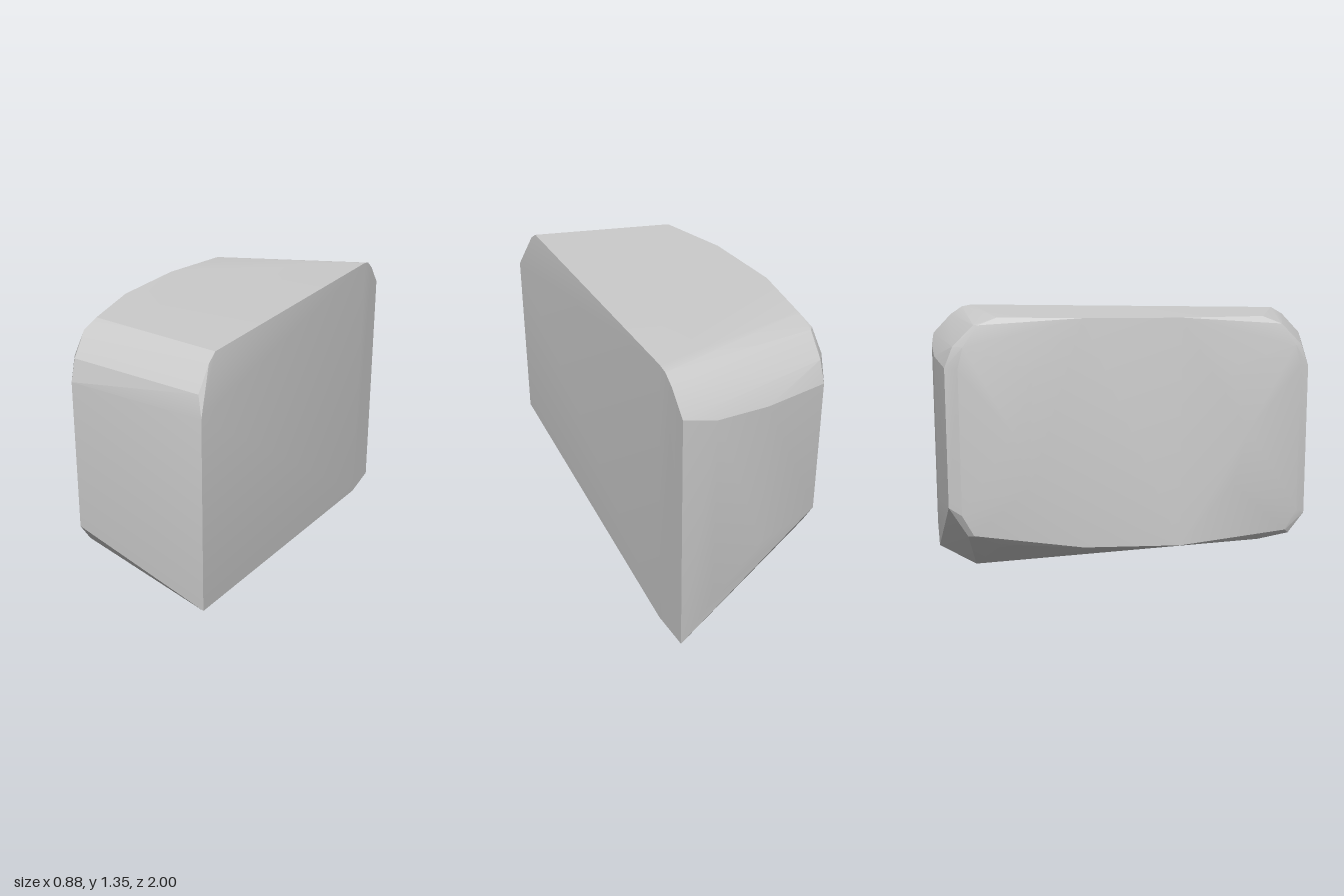
import * as THREE from 'three';
import { ConvexGeometry } from 'three/addons/geometries/ConvexGeometry.js';
import { toCreasedNormals } from 'three/addons/utils/BufferGeometryUtils.js';

export function createModel() {
  const group = new THREE.Group();
  const points = [];
  const add = (list) => list.forEach(([x, y, z]) => points.push(new THREE.Vector3(x, y, z)));

  // Narrow end (-x): domed cap and rounded rim, mirrored front to back
  const cap = [
    [-0.44, 1.335, 0.23], [-0.44, 1.1, 0.46], [-0.44, 0.8, 0.55], [-0.44, 0.55, 0.48], [-0.44, 0.25, 0.23],
    [-0.36, 1.335, 0.62], [-0.37, 1.3, 0.71], [-0.38, 1.2, 0.78], [-0.38, 1.1, 0.805],
    [-0.38, 0.4, 0.805], [-0.38, 0.3, 0.75], [-0.36, 0.25, 0.62],
  ];
  for (const s of [1, -1]) add(cap.map(([x, y, z]) => [x, y, s * z]));

  // Front face: edge at the cap and rounded upper corner
  add([
    [-0.36, 1.1, 0.845], [-0.36, 1.2, 0.81], [-0.36, 1.3, 0.71],
    [-0.36, 0.38, 0.845], [-0.36, 0.28, 0.77],
    [0.36, 0.21, 1], [0.36, 1.11, 1], [0.33, 1.2, 0.965], [0.33, 1.3, 0.87], [0.33, 1.335, 0.81],
  ]);

  // Back face: gently bowed from the cap to the wide end
  add([
    [-0.34, 1.1, -0.87], [-0.34, 0.43, -0.87], [-0.34, 1.2, -0.83], [-0.35, 1.3, -0.73], [-0.35, 0.29, -0.78],
    [0, 1.12, -0.95], [0, 0.4, -0.95], [0.27, 1.15, -0.988], [0.27, 0.2, -0.988],
    [0.437, 0.02, -1], [0.437, 1.2, -0.995],
    [0.435, 1.3, -0.9], [0.433, 1.34, -0.84], [0.432, 1.35, -0.79],
  ]);

  // Lowest edge of the sloping underside
  add([[0.432, 0, -0.78], [0.14, 0, -0.78]]);

  const geometry = toCreasedNormals(new ConvexGeometry(points), 0.3);
  const block = new THREE.Mesh(geometry, new THREE.MeshStandardMaterial({ color: 0xcccccc }));
  block.name = 'roundedWedgeBlock';
  group.add(block);
  return group;
}
